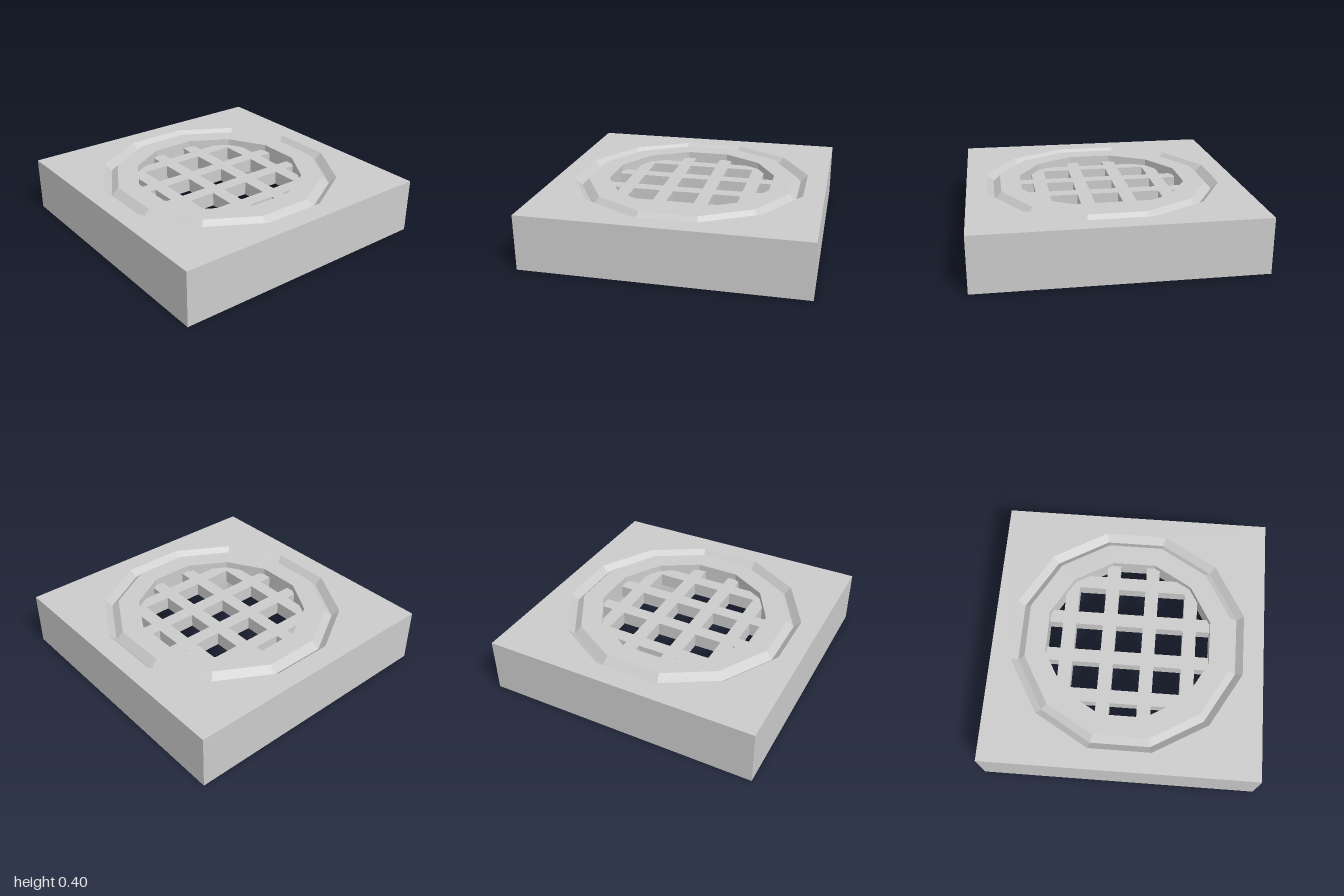
import * as THREE from 'three';

const HEIGHT = 0.4;
const HALF_STEP = Math.PI / 12; // half the angle of one of the twelve sides

export function createModel() {
  const group = new THREE.Group();
  const material = new THREE.MeshStandardMaterial({ color: 0xcccccc, flatShading: true });

  const add = (name, geometry, parent = group) => {
    const mesh = new THREE.Mesh(geometry, material);
    mesh.name = name;
    parent.add(mesh);
    return mesh;
  };

  // Extrudes a plan shape upwards from y = bottom
  const slab = (shape, bottom, thickness) =>
    new THREE.ExtrudeGeometry(shape, { depth: thickness, bevelEnabled: false })
      .rotateX(-Math.PI / 2)
      .translate(0, bottom, 0);

  // Twelve-sided ring corners, sized by the distance to its flats
  const dodecagon = (flat) =>
    Array.from({ length: 12 }, (_, i) => {
      const a = HALF_STEP * (2 * i + 1);
      const r = flat / Math.cos(HALF_STEP);
      return new THREE.Vector2(r * Math.cos(a), r * Math.sin(a));
    });

  // Square block around the ring
  const square = new THREE.Shape([[-1, -1], [1, -1], [1, 1], [-1, 1]].map((p) => new THREE.Vector2(...p)));
  square.holes.push(new THREE.Path(dodecagon(0.85)));
  add('block', slab(square, 0, HEIGHT));

  // Ring with a V groove on top, the central opening, and a stepped, chamfered recess below
  const profile = [
    [0.85, 0.4], [0.8, 0.35], [0.75, 0.4], [0.6, 0.4],
    [0.6, 0.25], [0.7, 0.25], [0.7, 0.05], [0.8, 0.05], [0.85, 0],
  ].map(([flat, y]) => new THREE.Vector2(flat / Math.cos(HALF_STEP), y));
  add('groovedRing', new THREE.LatheGeometry(profile, 12, HALF_STEP));

  // Grating bars, trimmed to the twelve-sided opening
  const opening = 0.6;
  const halfLength = (u) =>
    Math.min(...[0, 2, 4].map((k) => {
      const a = k * HALF_STEP;
      return (opening - Math.abs(u) * Math.sin(a)) / Math.cos(a);
    }));
  const corners = dodecagon(opening).map((p) => p.y);

  const barShape = (from, to) => {
    const bends = [corners[0], corners[1]].filter((u) => u > from && u < to);
    const stations = [from, ...bends, to];
    return new THREE.Shape([
      ...stations.map((u) => new THREE.Vector2(u, -halfLength(u))),
      ...stations.reverse().map((u) => new THREE.Vector2(u, halfLength(u))),
    ]);
  };

  const grating = new THREE.Group();
  grating.name = 'grating';
  group.add(grating);
  for (const inner of [0.1, 0.4]) {
    const bar = slab(barShape(inner, inner + 0.1), 0.25, 0.1);
    for (let quarter = 0; quarter < 4; quarter++) {
      add('gratingBar', bar, grating).rotation.y = (quarter * Math.PI) / 2;
    }
  }

  return group;
}
